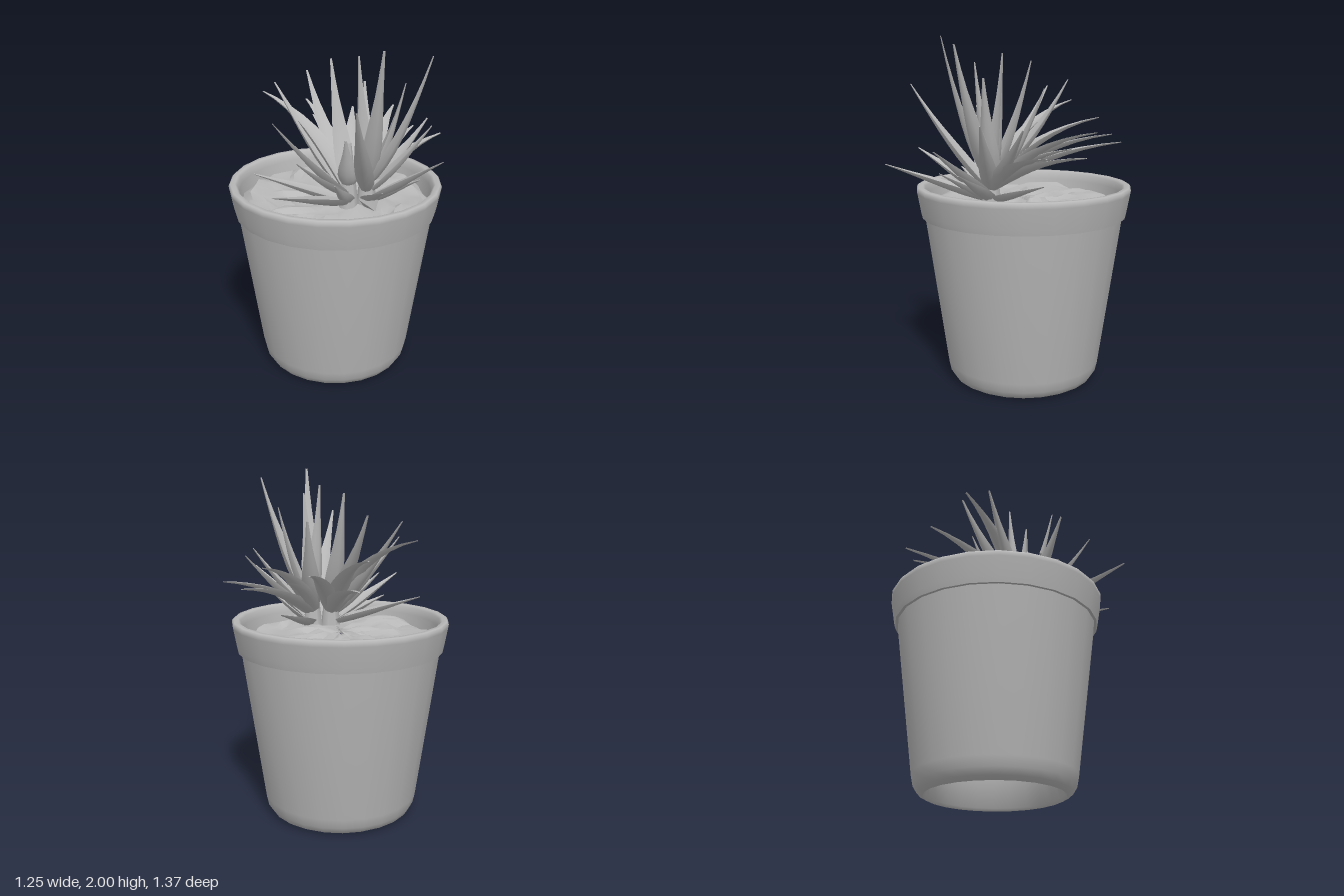
import * as THREE from 'three';
import { toCreasedNormals } from 'three/addons/utils/BufferGeometryUtils.js';

const POT_Z = -0.065;

// Leaf cross-section (side, normal): channelled top, keeled underside
const SECTION = [[1, 0.3], [0, 0.05], [-1, 0.3], [-0.62, -0.3], [0, -0.55], [0.62, -0.3]];
// Half-width along the leaf, from base to tip
const TAPER = [0.65, 0.92, 1, 0.95, 0.8, 0.6, 0.4, 0.24, 0.1];

// bend > 0 rises first and droops outward, bend < 0 reaches out and sweeps up
function leafGeometry(a, b, width, bend) {
  const d = b.clone().sub(a);
  const h = 0.5 - 0.15 * bend, v = 0.5 + 0.4 * bend;
  const mid = a.clone().add(new THREE.Vector3(d.x * h, d.y * v, d.z * h));
  const curve = new THREE.QuadraticBezierCurve3(a, mid, b);
  const side = new THREE.Vector3(d.z, 0, -d.x).normalize();
  const n = SECTION.length, rows = TAPER.length, pos = [], idx = [];
  TAPER.forEach((k, i) => {
    const t = i / (rows - 1), p = curve.getPoint(t);
    const normal = curve.getTangent(t).cross(side).normalize();
    for (const [s, u] of SECTION) {
      const q = p.clone().addScaledVector(side, s * k * width).addScaledVector(normal, u * k * width);
      pos.push(q.x, q.y, q.z);
    }
  });
  for (let i = 0; i < rows - 1; i++) {
    for (let j = 0; j < n; j++) {
      const p = i * n + j, q = i * n + (j + 1) % n;
      idx.push(p, q, q + n, p, q + n, p + n);
    }
  }
  const last = (rows - 1) * n;
  for (let j = 1; j < n - 1; j++) idx.push(last, last + j, last + j + 1);
  const g = new THREE.BufferGeometry();
  g.setAttribute('position', new THREE.Float32BufferAttribute(pos, 3));
  g.setIndex(idx);
  return toCreasedNormals(g, 1.1);
}

// Repeatable noise from a position, so seam vertices move together
function noise(x, z, seed) {
  const s = Math.sin(Math.round(x * 1000) * 12.9898 + Math.round(z * 1000) * 78.233 + seed) * 43758.5453;
  return s - Math.floor(s) - 0.5;
}

function soilGeometry() {
  const g = new THREE.RingGeometry(0.01, 0.555, 36, 9).rotateX(-Math.PI / 2);
  const p = g.attributes.position;
  for (let i = 0; i < p.count; i++) {
    const x = p.getX(i), z = p.getZ(i), r = Math.hypot(x, z);
    const j = Math.min(r * 0.07, 0.03);
    const edge = r > 0.54 ? 0.05 : 0;
    p.setXYZ(i,
      x + noise(x, z, 1) * j,
      1.08 - edge + noise(x, z, 3) * 0.035 + 0.012 * Math.sin(x * 11) * Math.cos(z * 9),
      z + noise(x, z, 2) * j);
  }
  return toCreasedNormals(g, 0.7);
}

export function createModel() {
  const model = new THREE.Group();
  const grey = new THREE.MeshStandardMaterial({ color: 0xb8b8b8 });
  grey.name = 'plain grey';
  const add = (name, geometry, parent = model) => {
    const m = new THREE.Mesh(geometry, grey);
    m.name = name;
    parent.add(m);
    return m;
  };

  // Pot shell: recessed underside with a drain hole, tapered wall, collar, short inner lip
  const profile = [
    [0.16, 0.2], [0.36, 0.2], [0.372, 0.015], [0.388, 0], [0.42, 0.018], [0.443, 0.055], [0.455, 0.11],
    [0.578, 0.985], [0.594, 0.985], [0.602, 1.02], [0.622, 1.13], [0.625, 1.15], [0.615, 1.163],
    [0.588, 1.163], [0.575, 1.15], [0.567, 1.11], [0.55, 1.0],
  ].map(([x, y]) => new THREE.Vector2(x, y));
  add('pot', toCreasedNormals(new THREE.LatheGeometry(profile, 24), 1.1)).position.z = POT_Z;

  // Lumpy soil
  add('soil', soilGeometry()).position.z = POT_Z;

  // Two tapering stems
  const plant = new THREE.Group();
  plant.name = 'succulent';
  model.add(plant);
  const mainStem = new THREE.Vector3(0.1, 1.24, 0.11), sideStem = new THREE.Vector3(0.2, 1.24, 0.07);
  add('mainStem', new THREE.CylinderGeometry(0.015, 0.065, 0.42, 8), plant).position.copy(mainStem);
  add('sideStem', new THREE.CylinderGeometry(0.015, 0.065, 0.42, 8), plant).position.copy(sideStem);

  // Each leaf springs from the stem nearer its tip
  const addLeaves = (name, baseY, width, bend, tips) => {
    for (const [x, y, z] of tips) {
      const base = (x > 0.13 ? sideStem : mainStem).clone().setY(baseY);
      add(name, leafGeometry(base, new THREE.Vector3(x, y, z), width, bend), plant);
    }
  };
  addLeaves('lowLeaf', 1.1, 0.051, 0, [
    [-0.43, 1.26, 0.17], [-0.21, 1.33, 0.68], [-0.17, 1.22, 0.43], [0.3, 1.29, 0.67], [0.62, 1.41, 0.25],
    [0.5, 1.27, 0.16], [0.05, 1.26, 0.3], [0.31, 1.25, 0.34], [0.3, 1.2, -0.26],
  ]);
  addLeaves('archingLeaf', 1.16, 0.057, 0.8, [
    [-0.22, 1.4, -0.6], [0.04, 1.47, -0.58], [0.22, 1.4, -0.39], [0.3, 1.5, -0.54], [0.43, 1.38, -0.51],
    [0.6, 1.39, -0.34], [-0.24, 1.54, -0.46], [-0.46, 1.63, -0.25],
  ]);
  addLeaves('middleLeaf', 1.15, 0.052, -0.2, [
    [-0.28, 1.6, 0.31], [-0.36, 1.72, -0.12], [0.52, 1.52, -0.2], [0.55, 1.54, 0.02], [0.19, 1.74, 0.55],
    [-0.16, 1.38, 0.3],
  ]);
  addLeaves('tallLeaf', 1.2, 0.058, -0.4, [
    [-0.2, 1.76, -0.28], [-0.03, 1.87, -0.1], [0.14, 1.91, 0.02], [0.15, 1.72, -0.22], [0.54, 1.95, 0.16],
    [0.3, 2, 0.32], [0.27, 1.86, 0.14], [0.4, 1.78, 0.05], [0.1, 1.5, 0.24],
  ]);
  return model;
}
